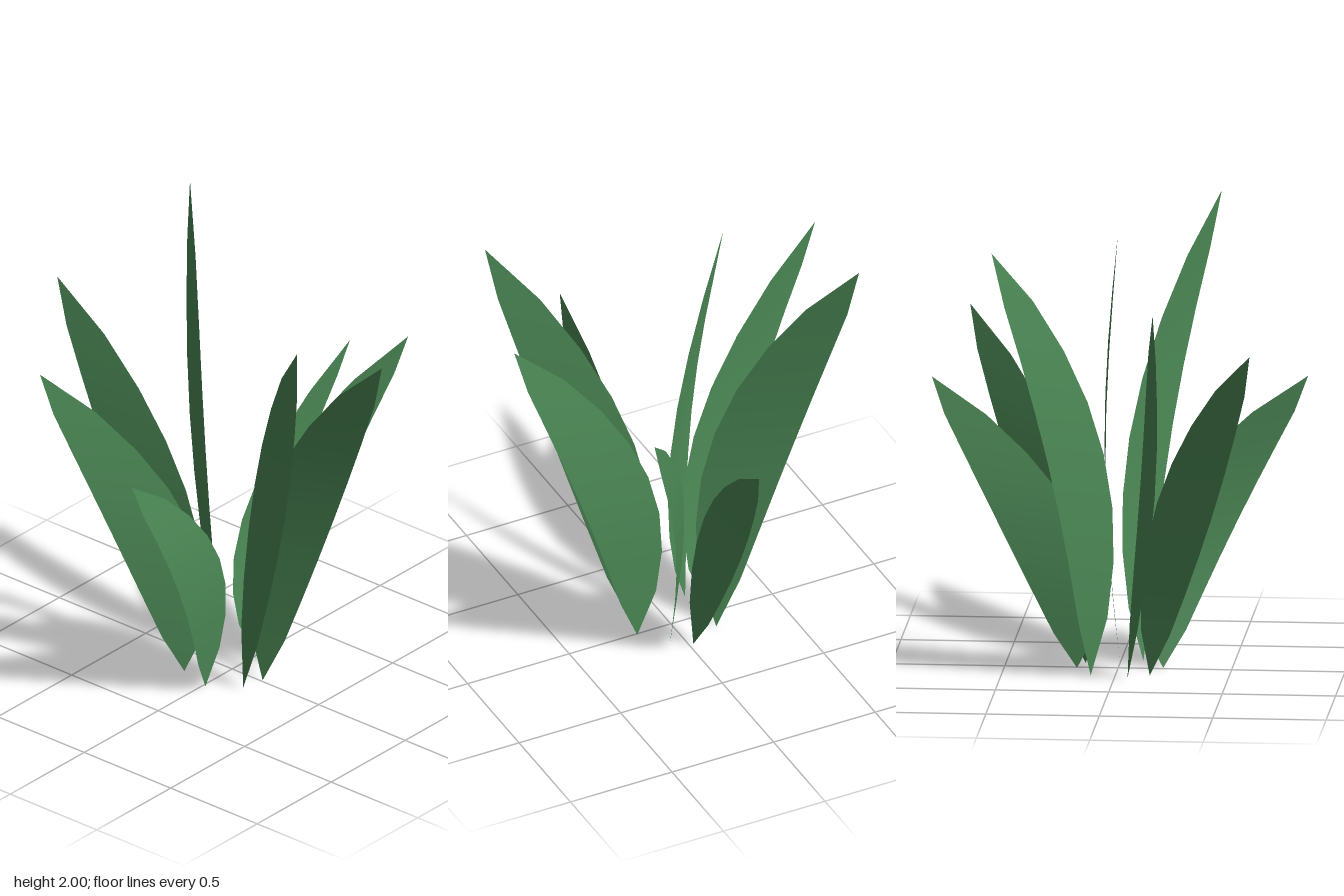
import * as THREE from 'three';

const leafGreen = new THREE.MeshStandardMaterial({ name: 'leafGreen', color: 0x4e8c58, side: THREE.DoubleSide });

// One thin leaf, leaning outward along +x and bowed sideways along -z
function leafGeometry(height) {
  const geo = new THREE.PlaneGeometry(1, 1, 1, 8);
  const pos = geo.attributes.position;
  for (let i = 0; i < pos.count; i++) {
    const side = Math.sign(pos.getX(i));
    const t = pos.getY(i) + 0.5;
    const arc = Math.max(0, Math.sin(Math.PI * t));
    const halfWidth = t < 0.001 || t > 0.999 ? 0 : 0.178 * Math.pow(arc, 0.68);
    pos.setXYZ(i, 0.19 + 0.64 * t * t + side * halfWidth, height * t, -0.062 * arc);
  }
  geo.computeVertexNormals();
  return geo;
}

export function createModel() {
  const plant = new THREE.Group();
  plant.name = 'leafyPlant';

  // Four leaf heights, repeated twice around the ring
  const heights = [1.3, 1.533, 1.767, 2.0];
  const leaves = heights.map(leafGeometry);
  const angles = [0, 32.7, 84.5, 117.8, 169.7, 222, 255.3, 308.1];

  angles.forEach((deg, i) => {
    const leaf = new THREE.Mesh(leaves[i % 4], leafGreen);
    leaf.name = 'leaf' + (i + 1);
    leaf.rotation.y = -THREE.MathUtils.degToRad(deg);
    leaf.position.set(-0.01, 0, -0.02);
    plant.add(leaf);
  });
  return plant;
}
